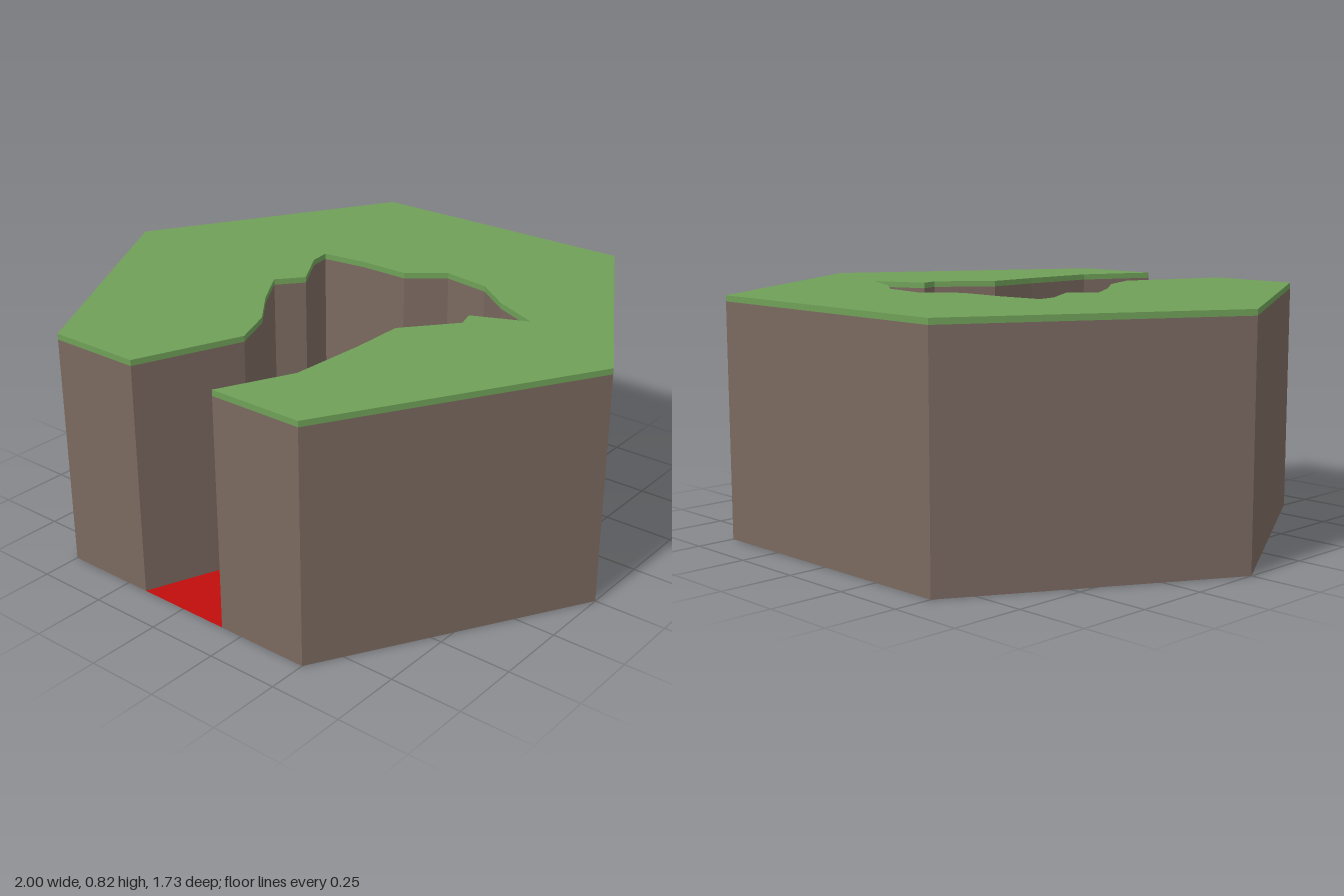
import * as THREE from 'three';

const SOIL_TOP = 0.8, TOP = 0.82, APOTHEM = 0.866;

// Canyon edge as [x, z], from the front mouth round the back and out again
const canyon = [
  [-0.17, APOTHEM], [-0.03, 0.51], [-0.09, 0.36], [-0.2, 0.22], [-0.29, 0.075],
  [-0.22, -0.01], [-0.31, -0.16], [-0.32, -0.235], [-0.16, -0.255], [0.02, -0.255],
  [0.14, -0.35], [0.31, -0.325], [0.44, -0.23], [0.605, -0.155], [0.42, -0.075],
  [0.44, -0.01], [0.3, 0.16], [0.3, 0.35], [0.285, 0.62], [0.17, APOTHEM],
];

// Hexagon corners, counterclockwise from above, starting at the front left
const hexagon = [0, 1, 2, 3, 4, 5].map((i) => {
  const a = Math.PI / 3 - i * Math.PI / 3;
  return [Math.cos(a), Math.sin(a)];
});

const material = (color) =>
  new THREE.MeshStandardMaterial({ color, flatShading: true, side: THREE.DoubleSide });

// Flat horizontal sheet with the given outline
function sheet(points, y) {
  const shape = new THREE.Shape(points.map(([x, z]) => new THREE.Vector2(x, -z)));
  return new THREE.ShapeGeometry(shape).rotateX(-Math.PI / 2).translate(0, y, 0);
}

// Vertical band following a closed outline
function band(points, y0, y1) {
  const positions = [];
  points.forEach(([ax, az], i) => {
    const [bx, bz] = points[(i + 1) % points.length];
    positions.push(ax, y0, az, bx, y0, bz, bx, y1, bz);
    positions.push(ax, y0, az, bx, y1, bz, ax, y1, az);
  });
  const geometry = new THREE.BufferGeometry();
  geometry.setAttribute('position', new THREE.Float32BufferAttribute(positions, 3));
  geometry.computeVertexNormals();
  return geometry;
}

export function createModel() {
  const group = new THREE.Group();
  group.name = 'canyonTile';
  const add = (name, geometry, mat) => {
    const mesh = new THREE.Mesh(geometry, mat);
    mesh.name = name;
    group.add(mesh);
  };
  const soil = material(0x7a685f), grass = material(0x6fa058), red = material(0xc00c0c);
  const outline = [...canyon, ...hexagon];

  // Hollow soil walls, open underneath
  add('soilWalls', band(outline, 0, SOIL_TOP), soil);
  // Thin grass rim and top
  add('grassRim', band(outline, SOIL_TOP, TOP), grass);
  add('grassTop', sheet(outline, TOP), grass);
  // Canyon floor
  add('canyonFloor', sheet(canyon, 0), red);
  return group;
}
